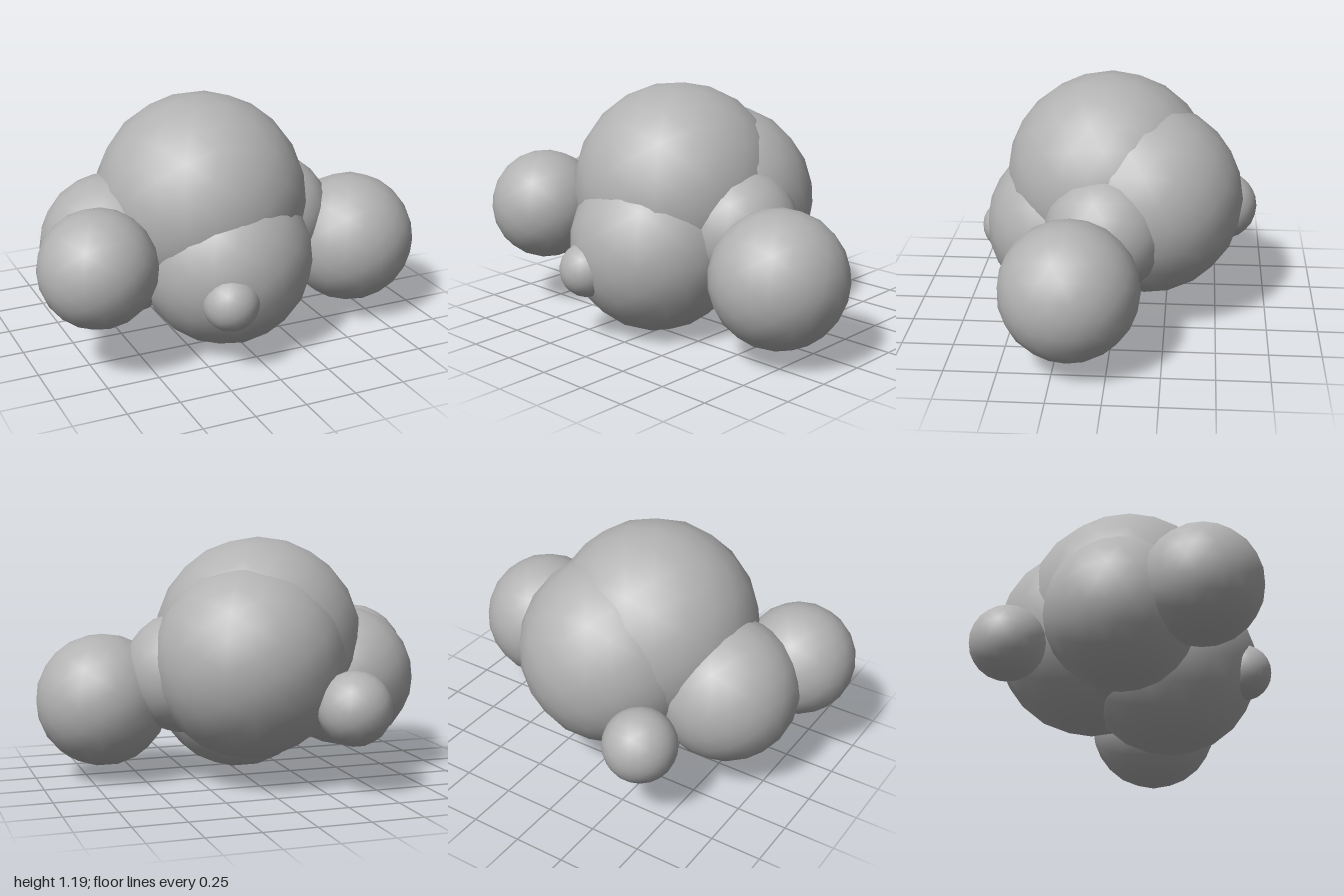
import * as THREE from 'three';

export function createModel() {
  const group = new THREE.Group();
  const stone = new THREE.MeshStandardMaterial({ color: 0xb2b2b2 });
  stone.name = 'plain grey';

  // Smooth-shaded, coarse icospheres: name, centre, radius
  const blobs = [
    ['upperBody', -0.085, 0.67, 0.035, 0.515],
    ['rearBody', 0.02, 0.595, -0.15, 0.47],
    ['lowerFrontBody', -0.045, 0.423, 0.23, 0.424],
    ['leftShoulder', 0.3, 0.53, 0.03, 0.297],
    ['leftEndBall', 0.675, 0.39, 0.172, 0.326],
    ['rightShoulder', -0.525, 0.478, -0.01, 0.352],
    ['rightEndBall', -0.726, 0.525, 0.348, 0.276],
    ['tailBall', -0.37, 0.405, -0.53, 0.178],
    ['noseBall', -0.17, 0.345, 0.573, 0.133],
  ];

  for (const [name, x, y, z, radius] of blobs) {
    const mesh = new THREE.Mesh(new THREE.IcosahedronGeometry(radius, 3), stone);
    mesh.name = name;
    mesh.position.set(x, y, z);
    group.add(mesh);
  }
  return group;
}
